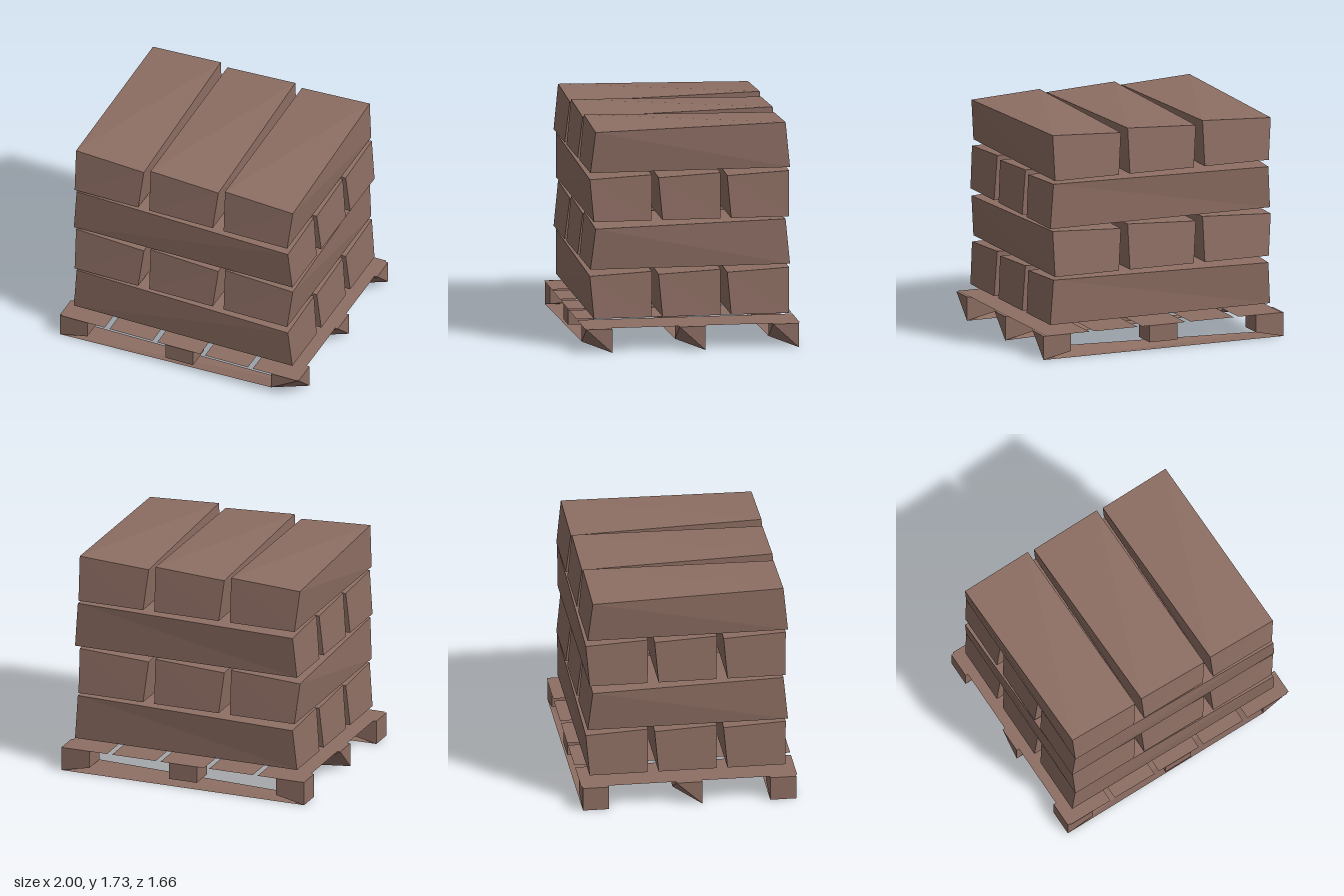
import * as THREE from 'three';

const brown = new THREE.MeshStandardMaterial({ color: 0x8d6e63, side: THREE.DoubleSide });
brown.name = 'brown';

// Flat-shaded surface from triangles of [x, y, z] points, skipping collapsed ones
function facets(name, triangles) {
  const same = (a, b) => a.every((v, i) => v === b[i]);
  const kept = triangles.filter(([a, b, c]) => !same(a, b) && !same(b, c) && !same(c, a));
  const geometry = new THREE.BufferGeometry();
  geometry.setAttribute('position', new THREE.Float32BufferAttribute(kept.flat(2), 3));
  geometry.computeVertexNormals();
  const mesh = new THREE.Mesh(geometry, brown);
  mesh.name = name;
  return mesh;
}

// Six-sided solid; corner(sx, sy, sz) gives the point for each sign triple
const FACES = [[1, 3, 7, 5], [4, 6, 2, 0], [6, 7, 3, 2], [0, 1, 5, 4], [4, 5, 7, 6], [0, 2, 3, 1]];
function solid(name, corner) {
  const p = [];
  for (let i = 0; i < 8; i++) p.push(corner(i & 1 ? 1 : -1, i & 2 ? 1 : -1, i & 4 ? 1 : -1));
  const tris = FACES.flatMap(([a, b, c, d]) => [[p[a], p[b], p[c]], [p[a], p[c], p[d]]]);
  return facets(name, tris);
}

// Skewed sack: two opposite top corners sag down and outwards
function sack(alongX, centre, base, s) {
  return solid('sack', (sx, sy, sz) => {
    const across = alongX ? sz : sx, along = alongX ? sx : sz;
    const top = sy > 0, sag = top && sx * sz > 0;
    const u = centre + across * (!top ? s.base : sag ? s.sag : s.top);
    const v = along * (top ? s.lengthTop : s.lengthBase);
    const y = base + (top ? 0.35 - (sag ? s.drop : 0) : 0);
    return alongX ? [v, y, u] : [u, y, v];
  });
}

// Runner with a thin bottom sheet and three blocks; some end corners are chipped off
function runner(z, chippedBothEnds) {
  const group = new THREE.Group();
  group.name = 'runner';
  const front = z + 0.1, back = z - 0.1, top = 0.185, lift = 0.05;
  for (const end of [-1, 1]) {
    group.add(solid('endBlock', (sx, sy, sz) => {
      const outer = sx === end;
      const chipped = sz === end && (end > 0 || chippedBothEnds);
      const zz = sz > 0 ? front : back;
      if (sy > 0) return [end * (outer ? 1 : 0.77), top, zz];
      return outer && !chipped ? [end, 0, zz] : [end * 0.77, lift, zz];
    }));
  }
  group.add(solid('middleBlock', (sx, sy, sz) =>
    [sx * 0.115, sy > 0 ? top : 0.055, sz > 0 ? front : back]));

  const a = [-1, 0, front], c = [0.77, lift, front], d = [1, 0, back];
  const e = chippedBothEnds ? [-0.77, lift, back] : [-1, 0, back];
  group.add(facets('bottomSheet', [[a, d, c], [a, e, d]]));
  return group;
}

export function createModel() {
  const model = new THREE.Group();
  model.name = 'loadedPallet';

  // Pallet
  const pallet = new THREE.Group();
  pallet.name = 'pallet';
  for (const z of [-0.72, 0, 0.72]) pallet.add(runner(z, z === 0));
  for (let i = -2; i <= 2; i++) {
    const board = new THREE.Mesh(new THREE.PlaneGeometry(0.36, 1.66).rotateX(-Math.PI / 2), brown);
    board.position.set(i * 0.4, 0.188, 0);
    board.name = 'deckBoard';
    pallet.add(board);
  }
  model.add(pallet);

  // Four layers of sacks, alternating direction
  const sizeX = { base: 0.223, sag: 0.25, top: 0.228, lengthBase: 0.915, lengthTop: 0.89, drop: 0.025 };
  const sizeZ = { base: 0.266, sag: 0.298, top: 0.27, lengthBase: 0.77, lengthTop: 0.735, drop: 0.03 };
  [0.252, 0.627, 1.002, 1.377].forEach((base, layer) => {
    const alongX = layer % 2 === 0;
    const group = new THREE.Group();
    group.name = 'sackLayer';
    for (let i = -1; i <= 1; i++) {
      const centre = alongX ? i * 0.53 - 0.004 : i * 0.624 - 0.009;
      group.add(sack(alongX, centre, base, alongX ? sizeX : sizeZ));
    }
    model.add(group);
  });
  return model;
}
